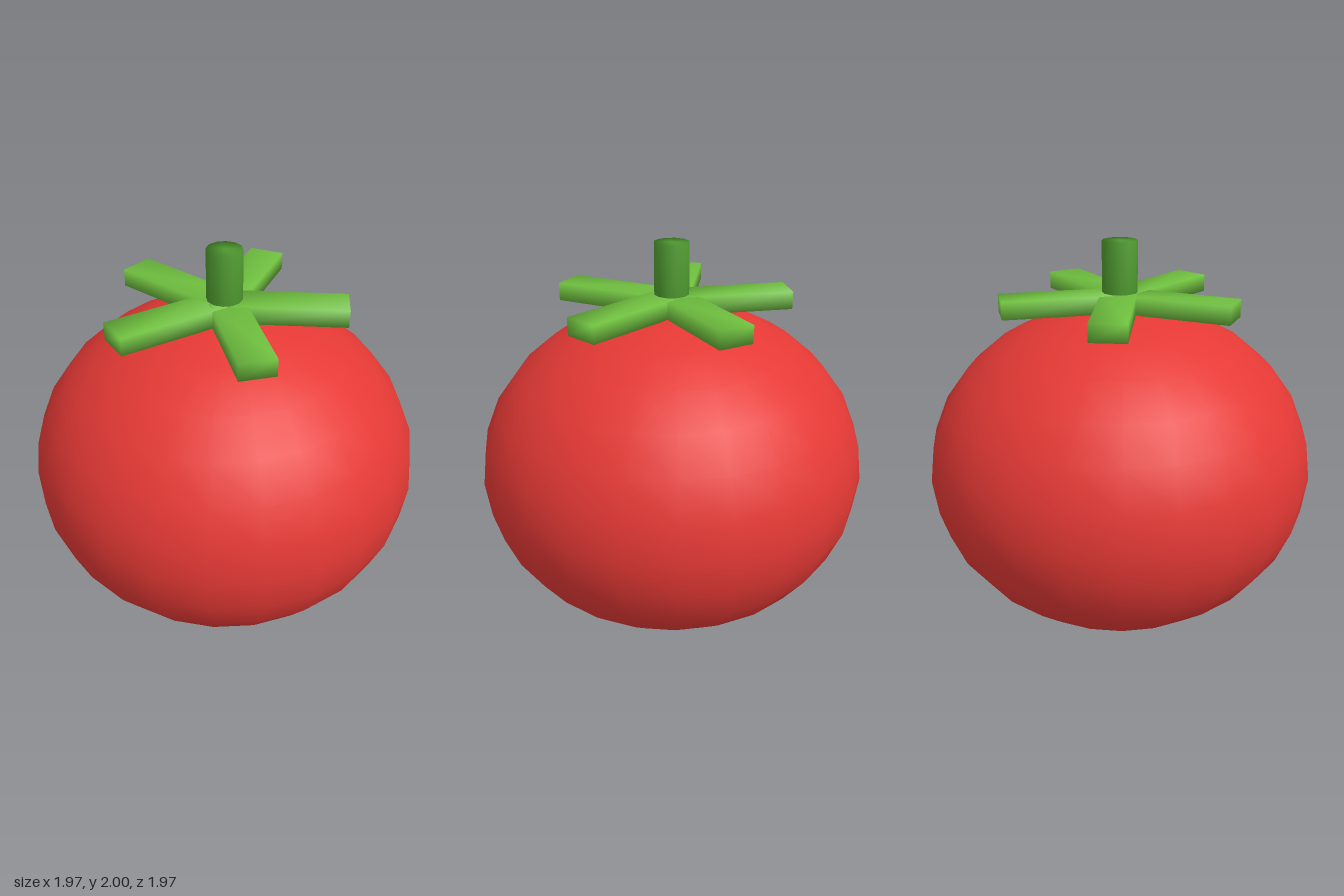
import * as THREE from 'three';
import { mergeVertices } from 'three/addons/utils/BufferGeometryUtils.js';

// Share corners so that the shading runs softly over the edges
function soften(geometry) {
  geometry.deleteAttribute('normal');
  geometry.deleteAttribute('uv');
  geometry.clearGroups();
  const welded = mergeVertices(geometry, 1e-4);
  welded.computeVertexNormals();
  return welded;
}

function material(name, color) {
  const m = new THREE.MeshStandardMaterial({ color });
  m.name = name;
  return m;
}

export function createModel() {
  const model = new THREE.Group();
  model.name = 'tomato';
  const red = material('skin red', 0xe53935);
  const leafGreen = material('leaf green', 0x6fbf3f);
  const stemGreen = material('stem green', 0x4f9a30);

  function add(name, geometry, mat, parent = model) {
    const mesh = new THREE.Mesh(geometry, mat);
    mesh.name = name;
    parent.add(mesh);
    return mesh;
  }

  // Fruit: a slightly flattened ball
  const fruit = new THREE.SphereGeometry(0.987, 24, 14);
  fruit.scale(1, 0.85, 1);
  add('fruit', fruit, red).position.y = 0.84;

  // Stem
  const stem = soften(new THREE.CylinderGeometry(0.0875, 0.0875, 0.34, 12));
  add('stem', stem, stemGreen).position.y = 1.83;

  // Five leaves spreading from the stem
  const inner = 0.04, outer = 0.59;
  const leaf = soften(new THREE.BoxGeometry(outer - inner, 0.0875, 0.175));
  leaf.translate((inner + outer) / 2, 0, 0);
  const leaves = new THREE.Group();
  leaves.name = 'leaves';
  leaves.position.y = 1.706;
  model.add(leaves);
  for (let i = 0; i < 5; i++) {
    add('leaf', leaf, leafGreen, leaves).rotation.y = (i * Math.PI * 2) / 5;
  }

  return model;
}
